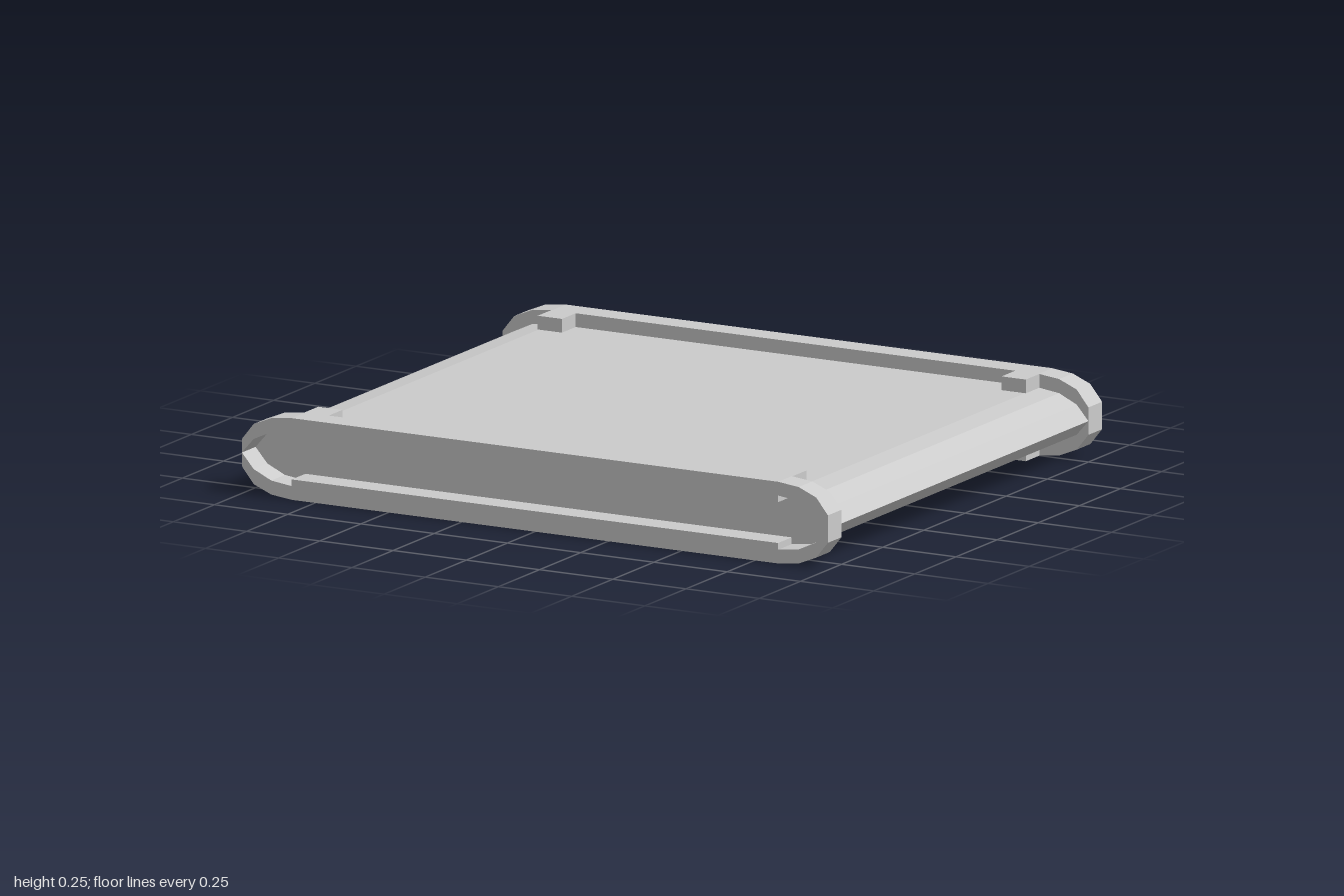
import * as THREE from 'three';

const MID = 0.125;      // half height
const SLAB_Z = 0.75;    // slab half depth
const RIM_Z = 0.833;    // outer face of the end rims

// Quarter profiles as [x, height above the mid line], from the tip inward
const OUTER = [[1, 0.042], [0.96, 0.092], [0.9, 0.117], [0.83, 0.125]];
const INNER = [[1, 0], [0.96, 0.046], [0.9, 0.074], [0.83, 0.083]];
const LIP = [0.83, 0.0625];

const mirrorX = (pts) => pts.map(([x, y]) => [-x, y]).reverse();

function extrude(pts, depth, z, material, name) {
  const shape = new THREE.Shape(pts.map(([x, y]) => new THREE.Vector2(x, y)));
  const geometry = new THREE.ExtrudeGeometry(shape, { depth, bevelEnabled: false });
  const mesh = new THREE.Mesh(geometry, material);
  mesh.position.set(0, MID, z);
  mesh.name = name;
  return mesh;
}

export function createModel() {
  const model = new THREE.Group();
  model.name = 'slabWithRims';
  const material = new THREE.MeshStandardMaterial({ color: 0xcccccc, flatShading: true });

  // Slab with faceted rounded sides
  const top = [...INNER, ...mirrorX(INNER)];
  const bottom = top.slice(1, -1).reverse().map(([x, y]) => [x, -y]);
  model.add(extrude([...top, ...bottom], 2 * SLAB_Z, -SLAB_Z, material, 'slab'));

  // Half of a rim: raised outside, stepped lip inside, closing to a point at each tip
  const inside = [...INNER, LIP];
  const halfRim = [...OUTER, ...mirrorX(OUTER), ...mirrorX(inside).reverse(), ...[...inside].reverse()];
  // The left inside edge runs from its tip to the lip, the right one from its lip to the tip

  for (const end of [1, -1]) {
    const rim = new THREE.Group();
    rim.name = end > 0 ? 'frontRim' : 'backRim';
    const z = end > 0 ? SLAB_Z : -RIM_Z;
    for (const up of [1, -1]) {
      const half = halfRim.map(([x, y]) => [x, y * up]);
      rim.add(extrude(half, RIM_Z - SLAB_Z, z, material, up > 0 ? 'upperRim' : 'lowerRim'));

      // Small tabs reaching from the rim over the slab
      for (const side of [1, -1]) {
        const tab = new THREE.Mesh(new THREE.BoxGeometry(0.083, 0.042, 0.083), material);
        tab.position.set(side * 0.7915, MID + up * 0.104, end * 0.7085);
        tab.name = 'tab';
        rim.add(tab);
      }
    }
    model.add(rim);
  }
  return model;
}
